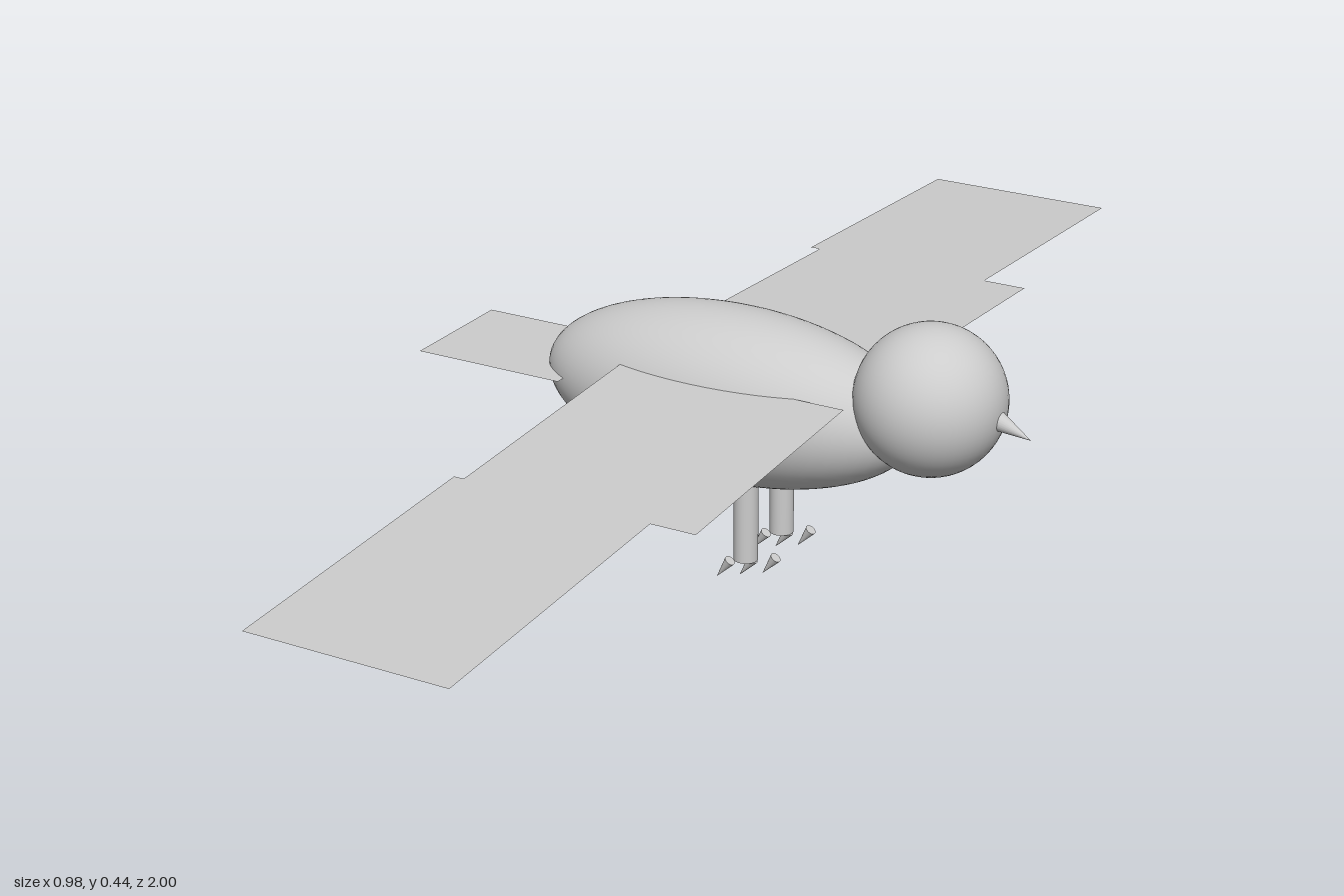
import * as THREE from 'three';

const plumage = new THREE.MeshStandardMaterial({ color: 0xcccccc, side: THREE.DoubleSide });
plumage.name = 'plainGrey';

function part(name, geometry, parent, x = 0, y = 0, z = 0) {
  const mesh = new THREE.Mesh(geometry, plumage);
  mesh.name = name;
  mesh.position.set(x, y, z);
  parent.add(mesh);
  return mesh;
}

// Cone running from the centre of its base to its tip
function spike(name, radius, base, tip, parent) {
  const from = new THREE.Vector3(...base);
  const axis = new THREE.Vector3(...tip).sub(from);
  const cone = new THREE.ConeGeometry(radius, axis.length(), 24);
  cone.translate(0, axis.length() / 2, 0);
  const mesh = part(name, cone, parent, ...base);
  mesh.quaternion.setFromUnitVectors(new THREE.Vector3(0, 1, 0), axis.normalize());
  return mesh;
}

// Flat wing outline: x along the body, y outward from the body's middle
function wingGeometry() {
  const outline = [
    [-0.127, 0.1], [0.24, 0.1], [0.24, 0.523], [0.17, 0.523],
    [0.17, 1.001], [-0.143, 1.001], [-0.143, 0.523], [-0.127, 0.523],
  ];
  return new THREE.ShapeGeometry(new THREE.Shape(outline.map(p => new THREE.Vector2(...p))));
}

export function createModel() {
  const bird = new THREE.Group();
  bird.name = 'bird';

  // Body and head
  part('body', new THREE.SphereGeometry(1, 64, 40), bird, 0, 0.273, 0).scale.set(0.309, 0.133, 0.136);
  part('head', new THREE.SphereGeometry(0.113, 48, 32), bird, 0.329, 0.33, 0);
  spike('beak', 0.018, [0.425, 0.323, 0], [0.488, 0.299, 0], bird);

  // Horizontal tail sheet
  const tail = new THREE.PlaneGeometry(0.25, 0.2).rotateX(-Math.PI / 2);
  part('tail', tail, bird, -0.367, 0.277, 0);

  // Wings, drooping slightly towards the tips
  const wing = wingGeometry();
  for (const side of [1, -1]) {
    const mesh = part(side > 0 ? 'frontWing' : 'backWing', wing, bird, 0, 0.337, 0);
    mesh.rotation.x = side * (Math.PI / 2 + 0.052);
  }

  // Legs, each with three slanting claws set diagonally
  for (const side of [1, -1]) {
    const leg = new THREE.Group();
    leg.name = side > 0 ? 'frontLeg' : 'backLeg';
    leg.position.set(0.057, 0, side * 0.056);
    bird.add(leg);
    part('shank', new THREE.CylinderGeometry(0.0185, 0.0185, 0.165, 32), leg, 0, 0.1175, 0);
    for (const i of [-1, 0, 1]) {
      const x = i * 0.0275;
      const z = -i * 0.021;
      spike('claw', 0.0085, [x + 0.012, 0.037, z], [x - 0.0105, 0.006, z], leg);
    }
  }

  // Rest the claws on the ground
  const box = new THREE.Box3().setFromObject(bird, true);
  for (const child of bird.children) child.position.y -= box.min.y;
  return bird;
}
